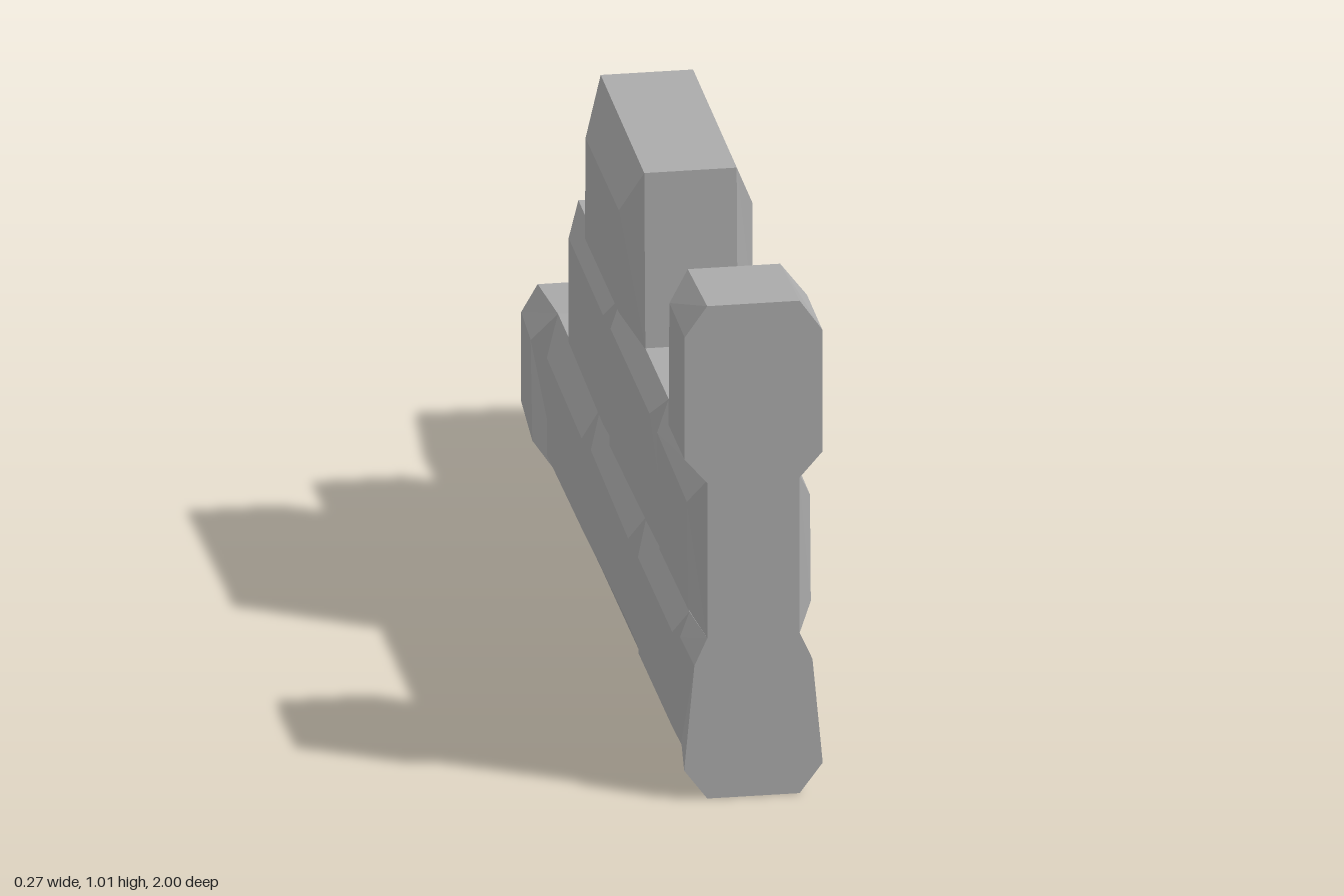
import * as THREE from 'three';

const HALF = 0.09; // half thickness of the wall at the joints

// Corner order for every ring: bottom front, bottom back, top back, top front, as [z, y].
// Panel corners may carry their own depth as a third value.
function brickGeometry(outline, panel, depth) {
  const pos = [];
  const quad = (a, b, c, d) => pos.push(...a, ...b, ...c, ...a, ...c, ...d);
  for (const s of [1, -1]) {
    const rim = outline.map(([z, y]) => [s * HALF, y, z]);
    const face = panel.map(([z, y, d = depth]) => [s * d, y, z]);
    const side = (a, b, c, d) => (s > 0 ? quad(a, b, c, d) : quad(d, c, b, a));
    side(...face);
    for (let i = 0; i < 4; i++) {
      const j = (i + 1) % 4;
      side(rim[i], rim[j], face[j], face[i]); // bevel
    }
  }
  // top, bottom and ends between the two rims
  for (let i = 0; i < 4; i++) {
    const [z0, y0] = outline[i];
    const [z1, y1] = outline[(i + 1) % 4];
    quad([HALF, y0, z0], [-HALF, y0, z0], [-HALF, y1, z1], [HALF, y1, z1]);
  }
  const g = new THREE.BufferGeometry();
  g.setAttribute('position', new THREE.Float32BufferAttribute(pos, 3));
  g.computeVertexNormals();
  return g;
}

const bricks = {
  // bottom course
  bottomFrontBrick: [[[1, 0], [0.795, 0], [0.79, 0.305], [1, 0.33]],
    [[1, 0.06, 0.135], [0.845, 0.06], [0.83, 0.27], [1, 0.275]], 0.115],
  bottomBrick1: [[[0.795, 0], [0.285, 0], [0.285, 0.31], [0.79, 0.305]],
    [[0.745, 0.055], [0.355, 0.055], [0.345, 0.25], [0.75, 0.25]], 0.117],
  bottomBrick2: [[[0.285, 0], [-0.265, 0], [-0.26, 0.325], [0.285, 0.31]],
    [[0.22, 0.07], [-0.2, 0.065], [-0.21, 0.26], [0.23, 0.245]], 0.117],
  bottomBrick3: [[[-0.265, 0], [-0.755, 0], [-0.76, 0.33], [-0.26, 0.325]],
    [[-0.315, 0.065], [-0.71, 0.06], [-0.71, 0.26], [-0.3, 0.25]], 0.12],
  bottomBackBrick: [[[-0.755, 0], [-1, 0], [-1, 0.3], [-0.76, 0.33]],
    [[-0.79, 0.06], [-1, 0.06, 0.122], [-1, 0.245, 0.122], [-0.81, 0.26]], 0.135],
  // middle course
  middleBrick1: [[[1, 0.33], [0.56, 0.31], [0.545, 0.65], [1, 0.655]],
    [[0.95, 0.375], [0.62, 0.37], [0.59, 0.6], [0.94, 0.59]], 0.12],
  middleBrick2: [[[0.56, 0.31], [-0.005, 0.32], [-0.01, 0.65], [0.545, 0.65]],
    [[0.475, 0.37], [0.03, 0.36], [0.04, 0.605], [0.5, 0.605]], 0.12],
  middleBrick3: [[[-0.005, 0.32], [-0.53, 0.328], [-0.52, 0.655], [-0.01, 0.65]],
    [[-0.06, 0.37], [-0.465, 0.385], [-0.465, 0.6], [-0.06, 0.595]], 0.118],
  // battlements
  frontMerlon: [[[1, 0.65], [0.78, 0.648], [0.77, 1.003], [1, 1.014]],
    [[1, 0.7], [0.81, 0.7], [0.82, 0.955], [1, 0.952]], 0.134],
  middleMerlon: [[[0.27, 0.648], [-0.263, 0.648], [-0.257, 1.013], [0.257, 1.006]],
    [[0.2, 0.7], [-0.2, 0.7], [-0.193, 0.91], [0.2, 0.91]], 0.13],
};

export function createModel() {
  const wall = new THREE.Group();
  wall.name = 'brokenWall';
  const stone = new THREE.MeshStandardMaterial({ color: 0xaaaaaa });
  stone.name = 'greyStone';
  stone.flatShading = true;

  for (const [name, args] of Object.entries(bricks)) {
    const mesh = new THREE.Mesh(brickGeometry(...args), stone);
    mesh.name = name;
    wall.add(mesh);
  }

  // fill that closes the uneven seam between the two lower courses
  const fill = new THREE.Mesh(new THREE.BoxGeometry(0.176, 0.15, 1.5), stone);
  fill.name = 'seamFill';
  fill.position.set(0, 0.32, 0.24);
  wall.add(fill);
  return wall;
}
